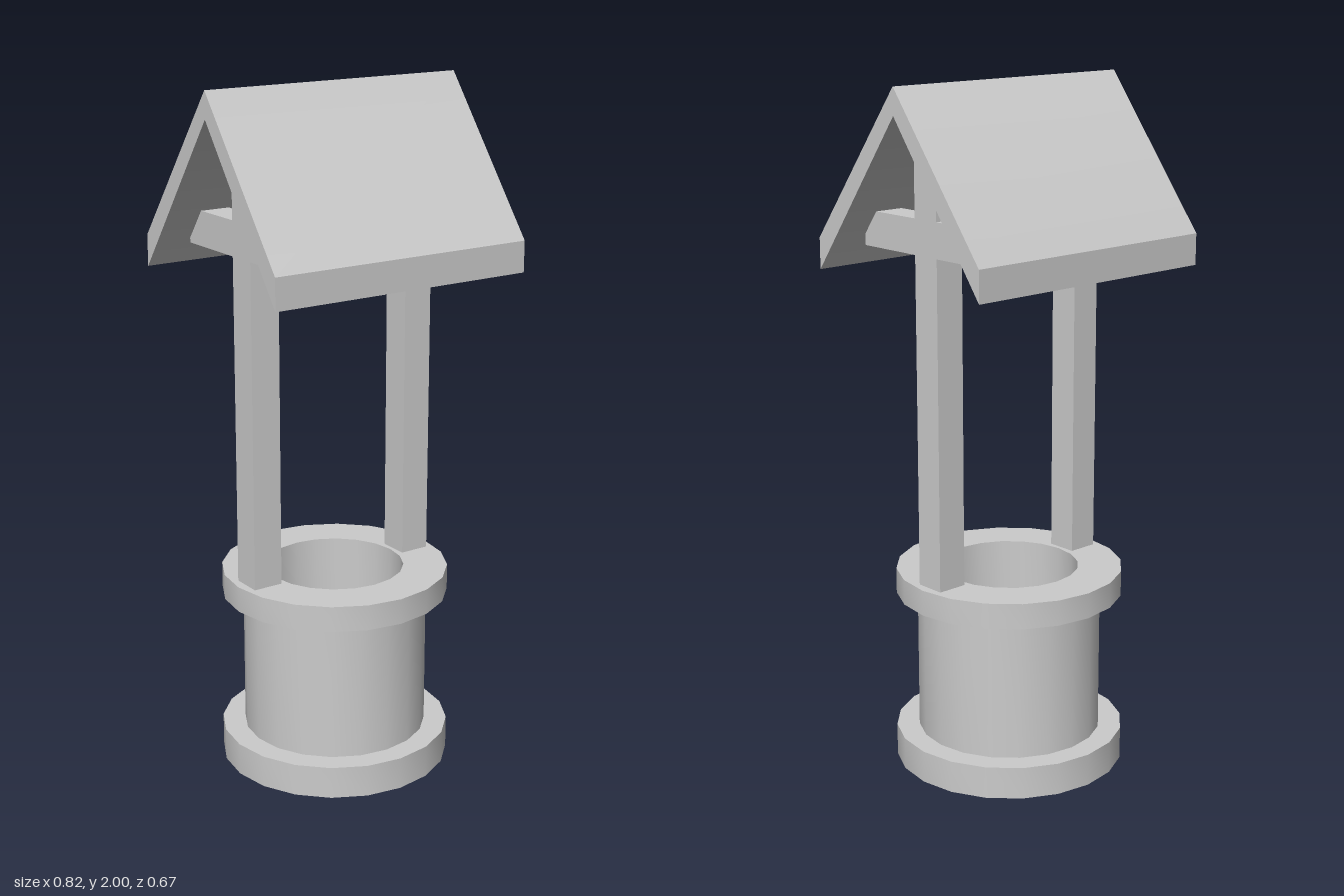
import * as THREE from 'three';
import { toCreasedNormals } from 'three/addons/utils/BufferGeometryUtils.js';

const material = new THREE.MeshStandardMaterial({ color: 0xcccccc });

function addMesh(parent, name, geometry, x = 0, y = 0, z = 0) {
  const mesh = new THREE.Mesh(geometry, material);
  mesh.name = name;
  mesh.position.set(x, y, z);
  parent.add(mesh);
  return mesh;
}

// Turned solid from [radius, height] pairs listed bottom to top
function turned(profile) {
  const points = profile.map(([r, y]) => new THREE.Vector2(r, y));
  return toCreasedNormals(new THREE.LatheGeometry(points, 20), 0.6);
}

// Gable profile extruded along x, with soft shading over the ridge
function roofGeometry() {
  const peak = 2, innerPeak = 1.924, halfDepth = 0.333, length = 0.82;
  const shape = new THREE.Shape([
    [-halfDepth, 1.475], [0, innerPeak], [halfDepth, 1.475],
    [halfDepth, 1.565], [0, peak], [-halfDepth, 1.565],
  ].map(([z, y]) => new THREE.Vector2(z, y)));
  const geometry = new THREE.ExtrudeGeometry(shape, { depth: length, bevelEnabled: false });
  geometry.translate(0, 0, -length / 2).rotateY(-Math.PI / 2);

  const position = geometry.attributes.position, normal = geometry.attributes.normal;
  for (let i = 0; i < position.count; i++) {
    if (Math.abs(normal.getX(i)) < 0.5 && Math.abs(position.getZ(i)) < 1e-4) {
      normal.setXYZ(i, 0, Math.sign(normal.getY(i)), 0);
    }
  }
  return geometry;
}

export function createModel() {
  const model = new THREE.Group();
  model.name = 'wishingWell';

  // Base slab, shaft wall and overhanging rim
  addMesh(model, 'base', turned([
    [0, 0], [0.337, 0], [0.337, 0.095], [0, 0.095],
  ]));
  addMesh(model, 'shaftWall', turned([
    [0.27, 0.095], [0.27, 0.515], [0.332, 0.515], [0.332, 0.59],
    [0.203, 0.59], [0.203, 0.095],
  ]));

  // Posts with their cross beams
  for (const side of [-1, 1]) {
    const frame = new THREE.Group();
    frame.name = side > 0 ? 'leftFrame' : 'rightFrame';
    frame.position.x = side * 0.26;
    addMesh(frame, 'post', new THREE.BoxGeometry(0.09, 1.36, 0.09), 0, 1.26, 0);
    addMesh(frame, 'crossBeam', new THREE.BoxGeometry(0.09, 0.1, 0.535), 0, 1.59, -0.007);
    model.add(frame);
  }

  // Gable roof
  addMesh(model, 'roof', roofGeometry());

  return model;
}
